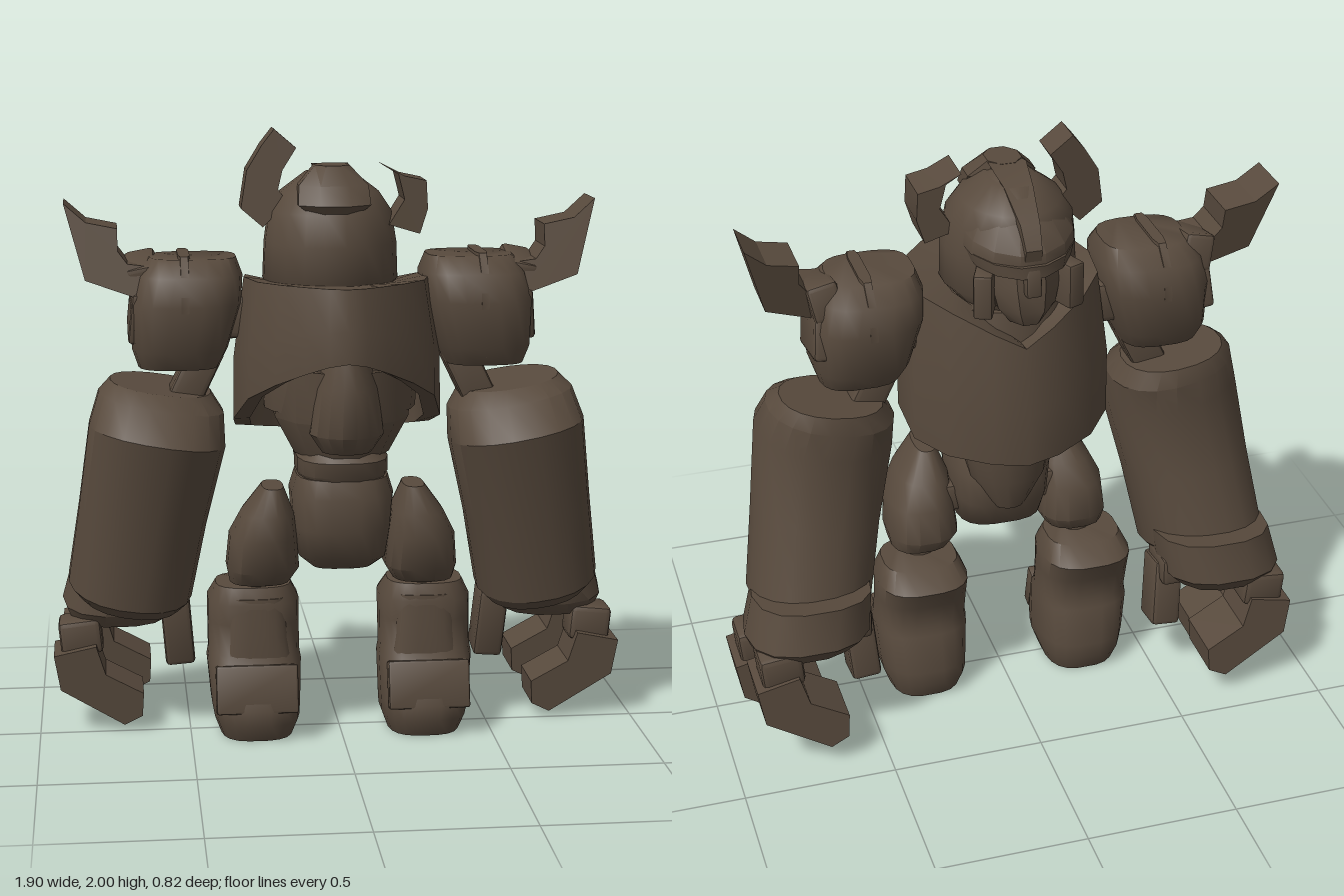
import * as THREE from 'three';
import { toCreasedNormals } from 'three/addons/utils/BufferGeometryUtils.js';
import { RoundedBoxGeometry } from 'three/addons/geometries/RoundedBoxGeometry.js';

const bronze = new THREE.MeshStandardMaterial({ color: 0x584a3d });
bronze.name = 'dark bronze';

function add(parent, name, geometry, crease = 0.6) {
  const mesh = new THREE.Mesh(toCreasedNormals(geometry, crease), bronze);
  mesh.name = name;
  parent.add(mesh);
  return mesh;
}

// Surface through equal rings of points, listed from bottom to top
function skin(rings, cap) {
  const n = rings[0].length, pos = rings.flat(2), index = [];
  for (let r = 0; r < rings.length - 1; r++) {
    for (let i = 0; i < n; i++) {
      const a = r * n + i, b = r * n + (i + 1) % n;
      index.push(a, b, a + n, b, b + n, a + n);
    }
  }
  if (cap) {
    const top = (rings.length - 1) * n;
    for (let i = 1; i < n - 1; i++) index.push(0, i + 1, i, top, top + i, top + i + 1);
  }
  const g = new THREE.BufferGeometry();
  g.setAttribute('position', new THREE.Float32BufferAttribute(pos, 3));
  g.setIndex(index);
  return g;
}

// Stacked rounded sections: [y, cx, cz, rx, rz, slope along z, slope outward]
function loft(parent, name, sections, { sides = 20, square = 1, side = 1, crease = 0.6 } = {}) {
  const pw = (v) => Math.sign(v) * Math.abs(v) ** square;
  const rings = sections.map(([y, cx, cz, rx, rz, slopeZ = 0, slopeX = 0]) =>
    Array.from({ length: sides }, (_, i) => {
      const a = ((i + 0.5) / sides) * Math.PI * 2;
      const dx = rx * pw(Math.sin(a)), dz = rz * pw(Math.cos(a));
      return [cx * side + dx, y + slopeZ * dz + slopeX * side * dx, cz + dz];
    }));
  return add(parent, name, skin(rings, true), crease);
}

// Side profile in x and y, pushed along z and leaned by a slope
function prism(parent, name, points, side, z0, z1, lean = 0, baseY = 0) {
  const shape = new THREE.Shape(points.map(([x, y]) => new THREE.Vector2(x * side, y)));
  const g = new THREE.ExtrudeGeometry(shape, { depth: z1 - z0, bevelEnabled: false });
  g.translate(0, 0, z0);
  const p = g.attributes.position;
  for (let i = 0; i < p.count; i++) p.setZ(i, p.getZ(i) - lean * (p.getY(i) - baseY));
  return add(parent, name, g, 0.4);
}

function block(parent, name, [w, h, d], [x, y, z], [rx, ry, rz] = [0, 0, 0]) {
  const mesh = add(parent, name, new RoundedBoxGeometry(w, h, d, 1, Math.min(w, h, d) * 0.15), 0.5);
  mesh.position.set(x, y, z);
  mesh.rotation.set(rx, ry, rz);
  return mesh;
}

// Hollow breastplate: pointed outline, sloping hem, V neckline and broad collar
function breastplate(parent) {
  const half = [[0, 0.41], [0.06, 0.392], [0.13, 0.347], [0.22, 0.275], [0.3, 0.185], [0.34, 0.04],
    [0.325, -0.12], [0.24, -0.23], [0.11, -0.305], [0, -0.335]];
  const outline = [...half, ...half.slice(1, -1).reverse().map(([x, z]) => [-x, z])];
  const rows = [[0, 0.84], [0, 1], [0.45, 0.99], [1, 0.89], [0.96, 0.55], [0.5, 0.8], [0, 0.84]];
  const rings = rows.map(([t, k]) => outline.map(([x, z]) => {
    const hem = z > 0 ? 1.04 + 0.26 * (z / 0.41) : 1.04 + 0.2 * z;
    const neck = z > -0.05 ? 1.53 : 1.38 + 0.14 * Math.min(1, Math.abs(x) / 0.3);
    const pull = z > 0 ? k + 0.04 * t : k - 0.06 * t - 0.07 * (t === 0);
    return [x * k - 0.01, hem + (neck - hem) * t, z * pull];
  }));
  add(parent, 'breastplate', skin(rings, false), 0.85);
}

function buildTorso(root) {
  const torso = new THREE.Group();
  torso.name = 'torso';
  root.add(torso);
  breastplate(torso);
  loft(torso, 'innerChest', [[1.1, 0, 0, 0.25, 0.24], [1.3, 0, 0.02, 0.26, 0.25], [1.47, -0.02, 0, 0.21, 0.2]]);
  loft(torso, 'abdomen', [[0.96, 0, 0.04, 0.16, 0.2], [1.08, 0, 0.04, 0.225, 0.25], [1.25, 0, 0.04, 0.23, 0.26]], { sides: 12 });
  loft(torso, 'abdomenKeel', [[0.99, 0, 0.23, 0.08, 0.07], [1.05, 0, 0.23, 0.12, 0.12],
    [1.2, 0, 0.23, 0.1, 0.13], [1.3, 0, 0.22, 0.07, 0.12]], { sides: 16, crease: 0.7 });
  loft(torso, 'belt', [[0.87, 0, 0.05, 0.13, 0.17], [0.9, 0, 0.05, 0.15, 0.19], [0.95, 0, 0.05, 0.15, 0.2],
    [0.99, 0, 0.05, 0.12, 0.17]], { sides: 16, square: 0.7 });
  loft(torso, 'pelvis', [[0.58, 0, 0.06, 0.1, 0.09], [0.62, 0, 0.06, 0.145, 0.15], [0.72, 0, 0.05, 0.16, 0.19],
    [0.83, 0, 0.05, 0.168, 0.2], [0.89, 0, 0.05, 0.15, 0.18]], { square: 0.65, crease: 0.9 });
  // Flared skirt plate low on the belly
  loft(torso, 'skirtPlate', [[0.72, 0, -0.1, 0.06, 0.06], [0.84, 0, -0.09, 0.13, 0.11],
    [0.97, 0, -0.07, 0.155, 0.13]], { sides: 16 });
}

function buildHead(root) {
  const head = new THREE.Group();
  head.name = 'head';
  head.position.x = -0.03;
  root.add(head);
  loft(head, 'helmet', [[1.44, 0, 0, 0.15, 0.17], [1.52, 0, 0, 0.22, 0.22], [1.64, 0, 0.005, 0.215, 0.225],
    [1.74, 0, -0.01, 0.2, 0.22], [1.8, 0, -0.02, 0.16, 0.19], [1.86, 0, -0.02, 0.08, 0.11]], { crease: 0.9 });
  // Two overlapping visor shells, sloping down over the brow
  loft(head, 'visor', [[1.69, 0, -0.08, 0.185, 0.2, 0.15], [1.74, 0, -0.085, 0.18, 0.195, 0.2],
    [1.82, 0, -0.06, 0.12, 0.15, 0.2], [1.87, 0, -0.03, 0.05, 0.07, 0.1]], { sides: 14, crease: 0.7 });
  loft(head, 'lowerVisor', [[1.65, 0, -0.09, 0.17, 0.2, 0.12], [1.69, 0, -0.09, 0.18, 0.2, 0.12]], { sides: 14 });
  // Crest running over the crown and down to the brow
  const profile = [[0.14, 1.84], [0.08, 1.88], [0, 1.89], [-0.12, 1.86], [-0.24, 1.79],
    [-0.285, 1.72], [-0.27, 1.66], [-0.2, 1.68], [0, 1.78]].map(([z, y]) => new THREE.Vector2(z, y));
  const crest = new THREE.ExtrudeGeometry(new THREE.Shape(profile), { depth: 0.12, bevelEnabled: false });
  crest.translate(0, 0, -0.06).rotateY(-Math.PI / 2);
  const p = crest.attributes.position;
  for (let i = 0; i < p.count; i++) p.setX(i, p.getX(i) * (1 - 2 * Math.abs(p.getZ(i))));
  add(head, 'crest', crest, 0.7);
  loft(head, 'crestKnob', [[1.73, 0, 0.15, 0.07, 0.05], [1.77, 0, 0.14, 0.125, 0.085], [1.83, 0, 0.1, 0.12, 0.09],
    [1.89, 0, 0.06, 0.06, 0.07]], { sides: 8 });
  // Face mask under the visor
  for (const s of [-1, 1]) {
    block(head, 'cheekGuard', [0.06, 0.15, 0.12], [s * 0.13, 1.56, -0.19], [0, -s * 0.4, 0]);
  }
  loft(head, 'faceMask', [[1.45, 0, -0.18, 0.06, 0.08], [1.5, 0, -0.17, 0.1, 0.11], [1.58, 0, -0.16, 0.12, 0.11],
    [1.66, 0, -0.15, 0.12, 0.1]], { sides: 8 });
  block(head, 'nose', [0.05, 0.1, 0.06], [0, 1.61, -0.26], [0.12, 0, 0]);
  // One whole horn and one broken horn
  prism(head, 'wholeHorn', [[-0.18, 2], [-0.22, 1.95], [-0.27, 1.87], [-0.29, 1.75], [-0.22, 1.69], [-0.14, 1.77],
    [-0.17, 1.81], [-0.155, 1.87], [-0.11, 1.94]], 1, -0.06, 0.055, 0.12, 1.7);
  prism(head, 'brokenHorn', [[0.16, 1.89], [0.21, 1.86], [0.23, 1.78], [0.18, 1.7], [0.28, 1.67], [0.305, 1.75],
    [0.3, 1.84], [0.23, 1.855]], 1, -0.04, 0.11);
}

function buildArm(root, s) {
  const side = { side: s };
  const shoulder = new THREE.Group();
  shoulder.name = s > 0 ? 'leftShoulder' : 'rightShoulder';
  shoulder.position.x = -0.025;
  root.add(shoulder);
  loft(shoulder, 'shoulderPad', [[1.24, 0.5, -0.01, 0.13, 0.13], [1.3, 0.495, -0.01, 0.155, 0.17],
    [1.45, 0.475, -0.01, 0.18, 0.19], [1.54, 0.46, -0.01, 0.17, 0.175], [1.595, 0.45, -0.01, 0.14, 0.12]],
    { ...side, square: 0.65, crease: 0.9 });
  loft(shoulder, 'shoulderBand', [[1.27, 0.48, -0.01, 0.02, 0.155], [1.45, 0.48, -0.01, 0.02, 0.198],
    [1.55, 0.48, -0.01, 0.02, 0.175], [1.605, 0.48, -0.01, 0.02, 0.12]], { ...side, sides: 8, square: 0.5 });
  block(shoulder, 'hornBracket', [0.09, 0.17, 0.23], [s * 0.61, 1.42, -0.02], [0.2, 0, s * 0.1]);
  block(shoulder, 'hornSocket', [0.1, 0.12, 0.2], [s * 0.61, 1.53, -0.02], [0.2, 0, -s * 0.2]);
  prism(shoulder, 'shoulderHorn', [[0.86, 1.77], [0.79, 1.71], [0.69, 1.69], [0.69, 1.62], [0.66, 1.58], [0.58, 1.57],
    [0.59, 1.46], [0.68, 1.49], [0.795, 1.53]], s, -0.08, 0.09, 0.25, 1.52);
  block(shoulder, 'elbowLink', [0.11, 0.24, 0.13], [s * 0.45, 1.2, -0.01], [0, 0, s * 0.45]);
  block(shoulder, 'armLink', [0.2, 0.14, 0.16], [s * 0.3, 1.4, -0.02]);

  const arm = new THREE.Group();
  arm.name = s > 0 ? 'leftArm' : 'rightArm';
  root.add(arm);
  // Forearm barrel leaning outward, its rings square to the lean
  const forearm = loft(arm, 'forearm', [[0.45, 0.685, -0.08, 0.17, 0.18, -0.2, 0.15], [0.49, 0.685, -0.08, 0.205, 0.215, -0.2, 0.15],
    [0.75, 0.64, -0.02, 0.21, 0.215, -0.1, 0.15], [1.02, 0.59, 0.035, 0.222, 0.23, 0, 0.18], [1.12, 0.575, -0.01, 0.205, 0.2, 0, 0.18],
    [1.17, 0.575, -0.035, 0.165, 0.16, -0.05, 0.15]], { ...side, sides: 20, square: 0.9, crease: 0.5 });
  forearm.position.x = -0.008;
  // Hand: cuff, two heavy outer fingers and a thumb
  loft(arm, 'handCuff', [[0.37, 0.73, -0.19, 0.17, 0.17, -0.1], [0.42, 0.715, -0.19, 0.205, 0.21, -0.1],
    [0.55, 0.69, -0.17, 0.195, 0.205, -0.15]], { ...side, sides: 14, square: 0.8 });
  for (const [z0, z1, dx, dy] of [[-0.17, 0.015, 0, 0], [-0.4, -0.21, -0.03, 0.05]]) {
    block(arm, 'knuckle', [0.14, 0.12, z1 - z0 - 0.05], [s * (0.86 + dx), 0.32 + dy, (z0 + z1) / 2], [0, 0, -s * 0.1]);
    prism(arm, 'finger', [[0.95, 0.27], [0.81, 0.3], [0.78, 0.2], [0.655, 0.13], [0.66, 0.05],
      [0.72, 0.02], [0.93, 0.15]].map(([x, y]) => [x + dx, y + dy]), s, z0, z1, -0.08, 0.2);
  }
  block(arm, 'thumb', [0.1, 0.24, 0.13], [s * 0.535, 0.31, -0.17], [0.15, 0, -s * 0.08]);
  block(arm, 'thumbJoint', [0.13, 0.1, 0.16], [s * 0.57, 0.42, -0.18]);
}

function buildLeg(root, s) {
  const leg = new THREE.Group();
  leg.name = s > 0 ? 'leftLeg' : 'rightLeg';
  root.add(leg);
  const side = { side: s };
  loft(leg, 'thigh', [[0.53, 0.27, 0.05, 0.1, 0.11], [0.58, 0.26, 0.06, 0.12, 0.15], [0.69, 0.26, 0.08, 0.11, 0.15],
    [0.77, 0.245, 0.1, 0.085, 0.13], [0.86, 0.23, 0.12, 0.035, 0.08]], { ...side, sides: 16, square: 0.75, crease: 0.8 });
  block(leg, 'hipJoint', [0.16, 0.1, 0.12], [s * 0.17, 0.7, 0.04]);
  const knee = add(leg, 'kneeJoint', new THREE.CylinderGeometry(0.055, 0.055, 0.14, 12));
  knee.position.set(s * 0.275, 0.51, 0.02);
  // Boot with a waisted shin, flared heel and sloping toe
  loft(leg, 'boot', [[0, 0.28, 0.005, 0.12, 0.15], [0.06, 0.28, 0.01, 0.142, 0.18], [0.11, 0.283, 0.01, 0.148, 0.178],
    [0.25, 0.287, -0.005, 0.157, 0.145], [0.28, 0.287, -0.01, 0.152, 0.125], [0.38, 0.287, -0.03, 0.152, 0.135],
    [0.45, 0.287, -0.04, 0.152, 0.155], [0.505, 0.287, -0.02, 0.125, 0.11]], { ...side, square: 0.7, crease: 0.8 });
  block(leg, 'toePlate', [0.27, 0.16, 0.05], [s * 0.285, 0.175, 0.142], [-0.25, 0, 0]);
  loft(leg, 'shinGuard', [[0.27, 0.28, 0.08, 0.11, 0.04], [0.34, 0.28, 0.075, 0.1, 0.045], [0.47, 0.28, 0.075, 0.09, 0.035]],
    { ...side, sides: 16, square: 0.8, crease: 0.8 });
}

export function createModel() {
  const root = new THREE.Group();
  root.name = 'armouredGolem';
  buildTorso(root);
  buildHead(root);
  for (const s of [-1, 1]) {
    buildArm(root, s);
    buildLeg(root, s);
  }
  return root;
}
